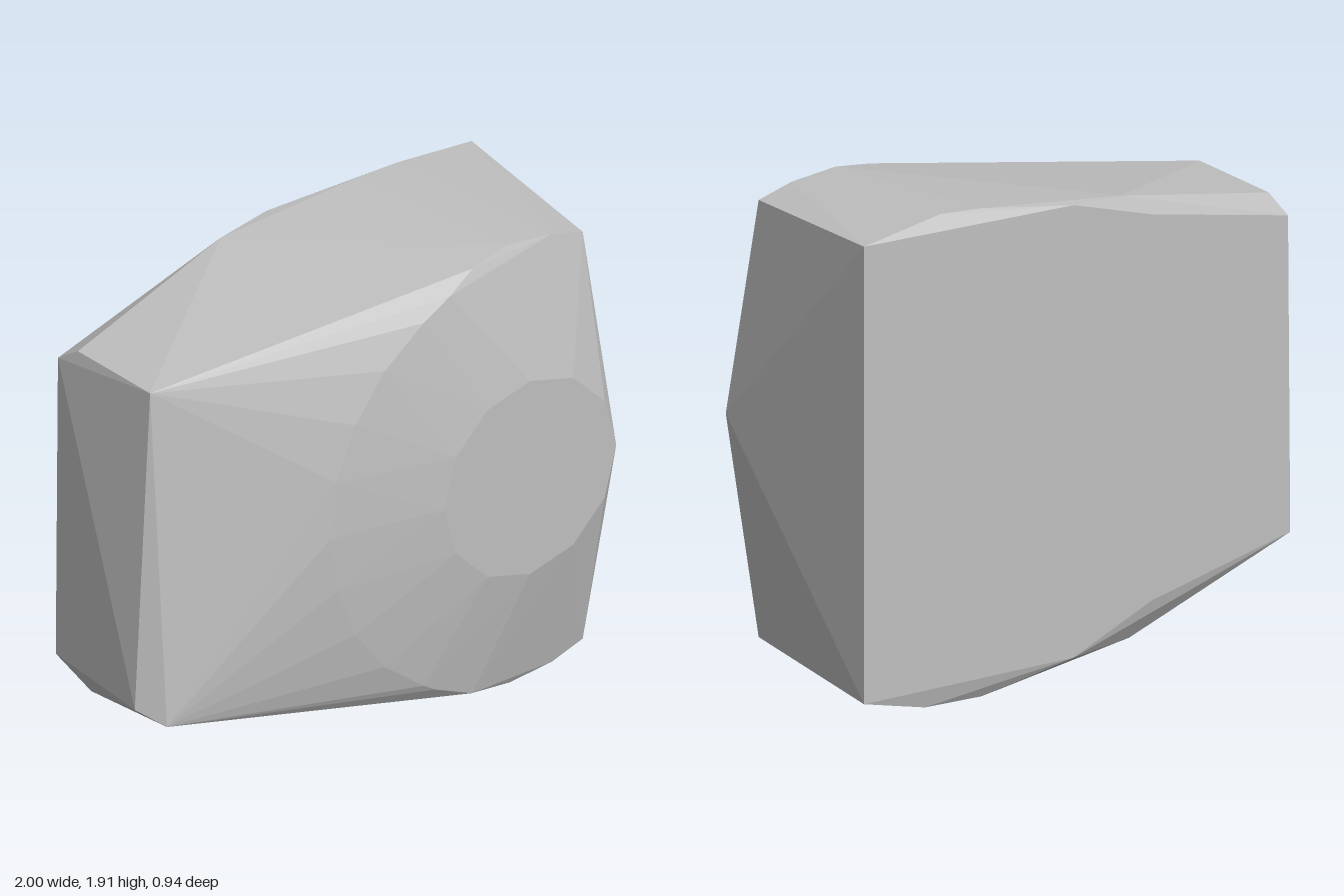
import * as THREE from 'three';
import { ConvexGeometry } from 'three/addons/geometries/ConvexGeometry.js';

// Points on an arc around the centre of the bulging front
function arc(radius, z, from, to, step) {
  const points = [];
  for (let a = from; a <= to; a += step) {
    const t = THREE.MathUtils.degToRad(a);
    points.push([0.58 + radius * Math.cos(t), 0.97 + radius * Math.sin(t), z]);
  }
  return points;
}

export function createModel() {
  const group = new THREE.Group();
  group.name = 'facetedBlock';
  const grey = new THREE.MeshStandardMaterial({ color: 0xbfbfbf });
  grey.name = 'grey';

  // Flat round face and the wider ring behind it
  const frontCap = arc(0.405, 0.47, 0, 330, 30);
  const shoulderRing = arc(0.88, 0.39, 120, 240, 15);

  // Upper and lower rims of the front
  const frontRim = [
    [0.27, 1.8, 0.385], [0.4, 1.86, 0.355], [0.58, 1.89, 0.335], [0.78, 1.87, 0.34], [0.93, 1.83, 0.34],
    [0.2, 0.17, 0.385], [0.38, 0.09, 0.375], [0.58, 0.055, 0.345], [0.78, 0.075, 0.345], [0.93, 0.12, 0.34],
  ];

  // Narrow end at -x
  const narrowEnd = [
    [-0.92, 1.67, 0.1], [-0.92, 1.665, -0.33], [-0.935, 1.6, -0.43],
    [-0.92, 0.31, 0.2], [-1, 0.37, 0.11], [-0.92, 0.27, -0.25], [-0.945, 0.36, -0.43],
  ];

  // Back outline with its chamfered top and bottom edges
  const back = [
    [1, 1.87, -0.41], [0.63, 1.915, -0.385], [0.45, 1.905, -0.4],
    [0.08, 1.86, -0.47], [-0.16, 1.84, -0.44], [-0.28, 1.75, -0.47],
    [1, 0.08, -0.41], [0.72, 0.01, -0.41], [0.46, 0, -0.41],
    [-0.22, 0.09, -0.41], [0.08, 0.09, -0.47], [-0.28, 0.24, -0.47],
  ];

  const points = [...frontCap, ...shoulderRing, ...frontRim, ...narrowEnd, ...back];
  const body = new THREE.Mesh(
    new ConvexGeometry(points.map((p) => new THREE.Vector3(...p))),
    grey,
  );
  body.name = 'body';
  group.add(body);
  return group;
}
